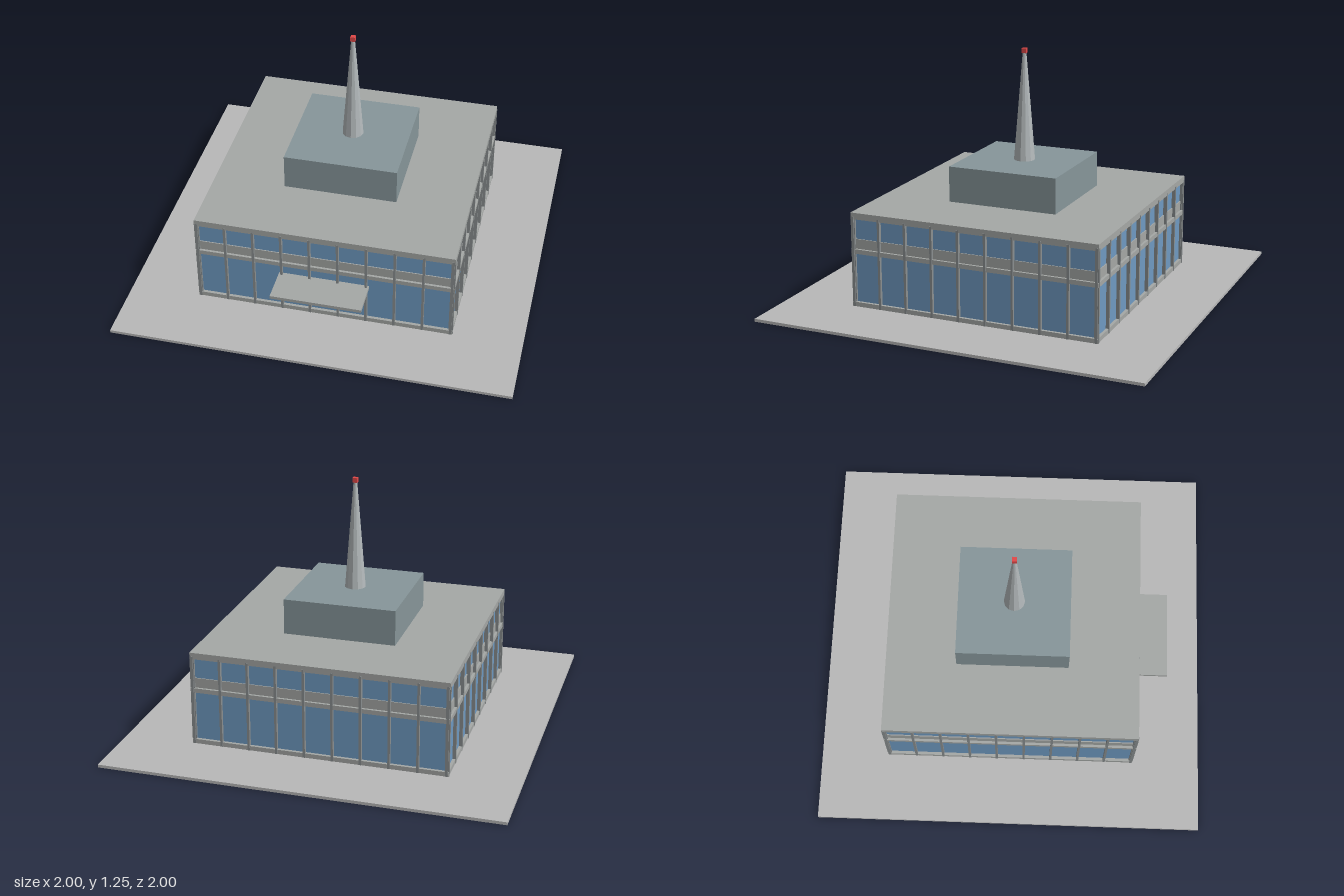
import * as THREE from 'three';

const mat = (color) => new THREE.MeshStandardMaterial({ color });

export function createModel() {
  const model = new THREE.Group();
  const paving = mat(0xb8b8b8);
  const concrete = mat(0xa5a8a6);
  const metal = mat(0x8a8f90);
  const glass = mat(0x6f9ac2);
  const plant = mat(0x87969a);
  const steel = mat(0xb4babc);
  steel.flatShading = true;
  const red = mat(0xe04848);

  // Box resting on height y0 and reaching y1
  function slab(name, width, depth, y0, y1, material, x = 0, z = 0, parent = model) {
    const mesh = new THREE.Mesh(new THREE.BoxGeometry(width, y1 - y0, depth), material);
    mesh.position.set(x, (y0 + y1) / 2, z);
    mesh.name = name;
    parent.add(mesh);
    return mesh;
  }

  // Site and main storeys
  slab('plaza', 2, 2, 0, 0.015, paving);
  slab('plinth', 1.3, 1.3, 0.015, 0.038, concrete);
  slab('groundFloorGlass', 1.27, 1.27, 0.038, 0.29, glass);
  slab('floorLedge', 1.3, 1.3, 0.29, 0.313, concrete);
  slab('spandrel', 1.275, 1.275, 0.313, 0.363, concrete);
  slab('upperFloorGlass', 1.265, 1.265, 0.363, 0.467, glass);
  slab('roofSlab', 1.3, 1.3, 0.467, 0.5, concrete);

  // Mullions dividing each of the four facades into nine bays
  const bays = 9, pitch = 0.1422;
  for (let side = 0; side < 4; side++) {
    const facade = new THREE.Group();
    facade.name = 'facadeMullions';
    facade.rotation.y = side * Math.PI / 2;
    for (let i = 0; i <= bays; i++) {
      const x = (i - bays / 2) * pitch;
      slab('mullion', 0.012, 0.022, 0.015, 0.48, metal, x, 0.641, facade);
    }
    model.add(facade);
  }

  // Entrance canopy
  slab('entranceCanopy', 0.455, 0.18, 0.22, 0.236, concrete, 0, 0.725);

  // Rooftop plant room, mast and beacon
  slab('plantRoom', 0.574, 0.574, 0.5, 0.682, plant);
  const mast = new THREE.Mesh(new THREE.CylinderGeometry(0.009, 0.054, 0.558, 12), steel);
  mast.position.y = 0.682 + 0.279;
  mast.name = 'mast';
  model.add(mast);
  slab('beacon', 0.024, 0.024, 1.23, 1.254, red);

  return model;
}
